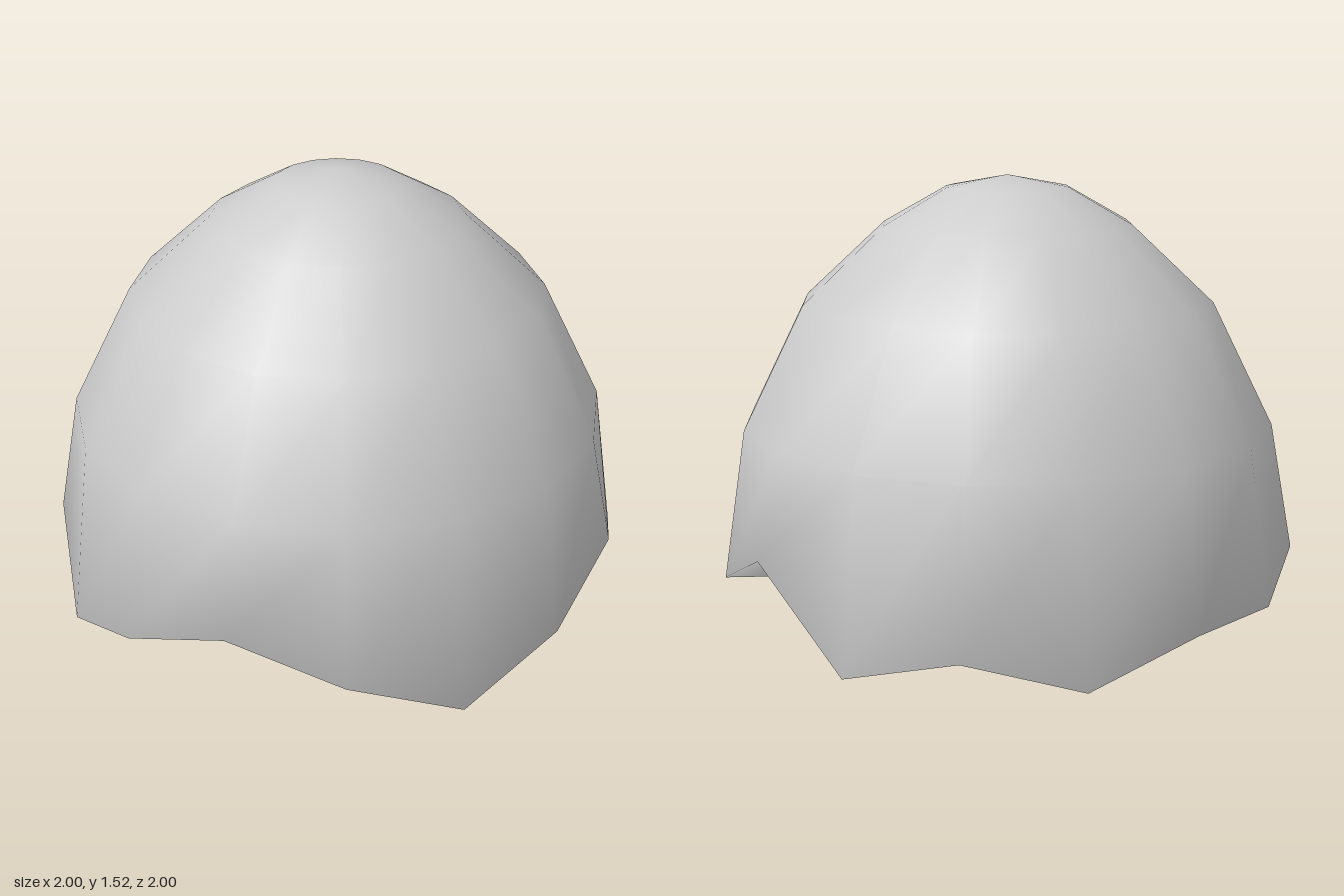
import * as THREE from 'three';

const SIDES = 16;
// Ring profile from crown to just above the rim: [radius, height]
const PROFILE = [[0.21, 1.485], [0.43, 1.36], [0.71, 1.1], [0.92, 0.68]];
const CROWN = 1.525;
// Jagged rim heights, from +x turning towards +z
const RIM = [0.16, 0.015, 0.165, 0.305, 0.16, 0.015, 0.245, 0.155,
  0.165, 0.045, 0.145, 0.045, 0.34, 0.165, 0.15, 0.305];
const INNER = 0.8; // inner wall scale

// One closed skin: outer dome, over the broken lip, up the inner dome
function shellGeometry() {
  const innerY = (y) => 0.1 + (y - 0.1) * INNER;
  const rings = [
    ...PROFILE.map(([r, y]) => ({ r, y: () => y })),
    { r: 1, y: (k) => RIM[k] },
    { r: 0.795, y: (k) => Math.max(0, RIM[k] - 0.013) },
    ...PROFILE.map(([r, y]) => ({ r: r * INNER, y: () => innerY(y) })).reverse(),
  ];

  const points = [0, CROWN, 0];
  for (const ring of rings) {
    for (let k = 0; k < SIDES; k++) {
      const a = (k / SIDES) * Math.PI * 2;
      points.push(Math.cos(a) * ring.r, ring.y(k), Math.sin(a) * ring.r);
    }
  }
  points.push(0, innerY(CROWN), 0);

  const at = (i, k) => 1 + i * SIDES + (k % SIDES);
  const last = rings.length - 1;
  const innerCrown = 1 + rings.length * SIDES;
  const faces = [];
  for (let k = 0; k < SIDES; k++) {
    faces.push(0, at(0, k + 1), at(0, k));
    for (let i = 0; i < last; i++) {
      const a = at(i, k), b = at(i, k + 1), c = at(i + 1, k), d = at(i + 1, k + 1);
      faces.push(d, c, a, d, a, b);
    }
    faces.push(innerCrown, at(last, k), at(last, k + 1));
  }

  const geometry = new THREE.BufferGeometry();
  geometry.setAttribute('position', new THREE.Float32BufferAttribute(points, 3));
  geometry.setIndex(faces);
  geometry.computeVertexNormals();
  return geometry;
}

export function createModel() {
  const group = new THREE.Group();
  group.name = 'brokenEggshell';
  const shellGrey = new THREE.MeshStandardMaterial({ color: 0xcccccc });
  shellGrey.name = 'shellGrey';
  const shell = new THREE.Mesh(shellGeometry(), shellGrey);
  shell.name = 'shell';
  group.add(shell);
  return group;
}
